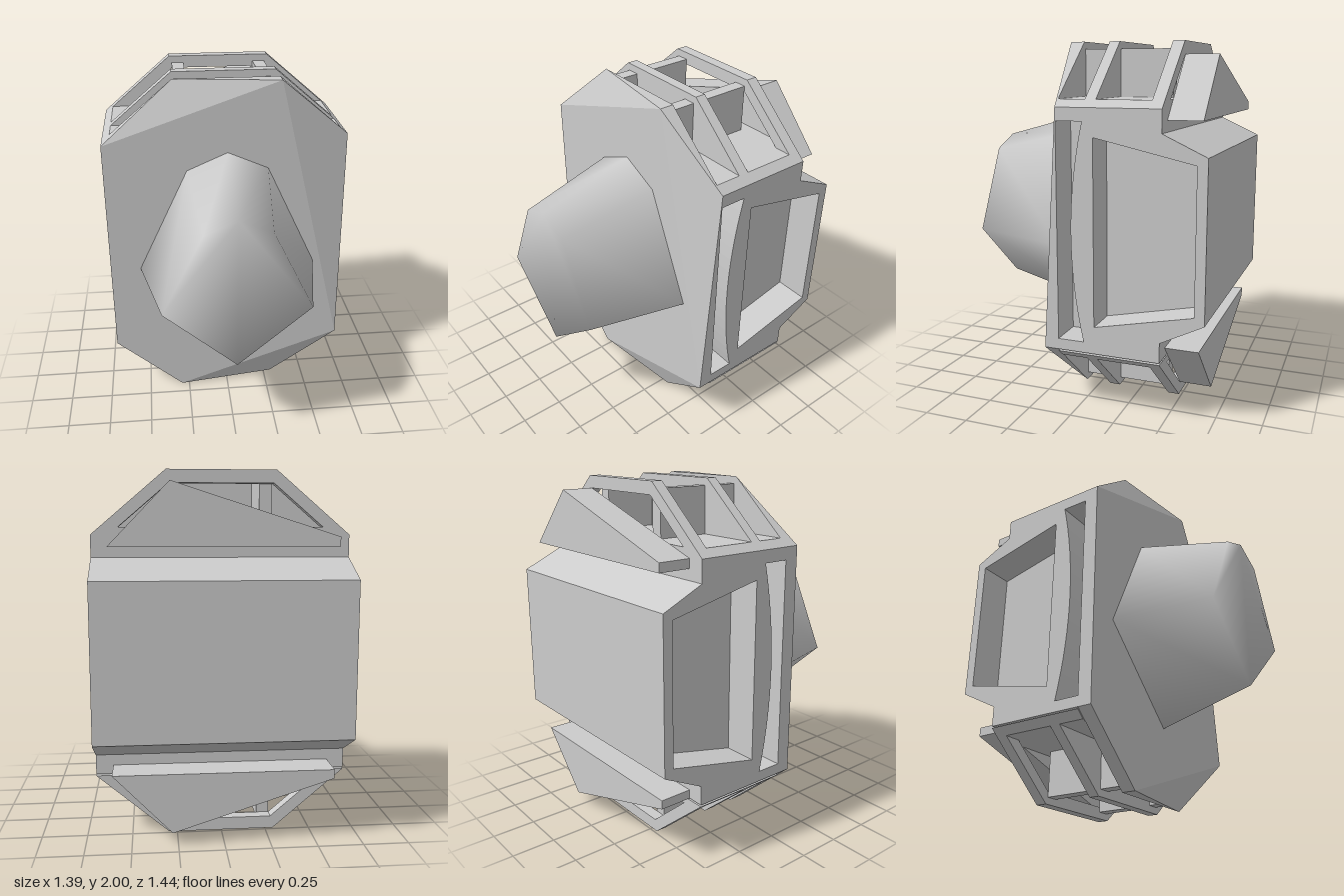
import * as THREE from 'three';
import { ConvexGeometry } from 'three/addons/geometries/ConvexGeometry.js';

const grey = () => new THREE.MeshStandardMaterial({ color: 0xcccccc, side: THREE.DoubleSide });

export function createModel() {
  const model = new THREE.Group();
  const add = (name, geometry) => {
    const mesh = new THREE.Mesh(geometry, grey());
    mesh.name = name;
    model.add(mesh);
  };
  const outline = (pts) => new THREE.Shape(pts.map(([x, y]) => new THREE.Vector2(x, y)));

  // Extrude an (x, y) shape from z0 to z1
  const extrudeZ = (shape, z0, z1) =>
    new THREE.ExtrudeGeometry(shape, { depth: z1 - z0, bevelEnabled: false }).translate(0, 0, z0);
  // Extrude a (-z, y) shape from x0 to x1
  const extrudeX = (shape, x0, x1) =>
    new THREE.ExtrudeGeometry(shape, { depth: x1 - x0, bevelEnabled: false, curveSegments: 16 })
      .rotateY(Math.PI / 2).translate(x0, 0, 0);

  const W = 0.695, IN = 0.5, FRONT = 0.17, PLATE = 0.09, BACK = -0.485;

  // Front plate: octagon behind, three corners cut away in front
  const octagon = [[-W, 1.66], [-0.295, 2], [0.295, 2], [W, 1.66], [W, 0.35], [0.295, 0], [-0.295, 0], [-W, 0.35]];
  const frontCorners = [0, 2, 4, 6, 7].map((i) => octagon[i]);
  add('frontPlate', new ConvexGeometry([
    ...octagon.map(([x, y]) => new THREE.Vector3(x, y, PLATE)),
    ...frontCorners.map(([x, y]) => new THREE.Vector3(x, y, FRONT)),
  ]));

  // Core with the raised back block
  const sideProfile = [[-PLATE, 0.35], [-PLATE, 1.66], [-BACK, 1.66], [-BACK, 1.54], [0.72, 1.43],
    [0.72, 0.58], [-BACK, 0.46], [-BACK, 0.35]];
  add('core', extrudeX(outline(sideProfile), -IN, IN));

  // Side panels with a slim and a wide recess
  const sidePanel = outline(sideProfile);
  const slim = new THREE.Path();
  slim.moveTo(-0.088, 1.59);
  slim.lineTo(0.06, 1.59);
  slim.quadraticCurveTo(-0.075, 1, 0.06, 0.41);
  slim.lineTo(-0.088, 0.41);
  slim.closePath();
  const wide = new THREE.Path();
  wide.moveTo(0.12, 1.51);
  wide.quadraticCurveTo(-0.01, 1, 0.12, 0.5);
  wide.lineTo(0.665, 0.62);
  wide.lineTo(0.665, 1.39);
  wide.closePath();
  sidePanel.holes.push(slim, wide);
  const bulge = new THREE.QuadraticBezierCurve(
    new THREE.Vector2(0.12, 1.51), new THREE.Vector2(-0.01, 1), new THREE.Vector2(0.12, 0.5)).getPoints(16);

  for (const [side, label] of [[1, 'left'], [-1, 'right']]) {
    add(label + 'SidePanel', extrudeX(sidePanel, side > 0 ? IN : -W, side > 0 ? W : -IN));
    // Sloping front wall of the wide recess
    const wedge = [];
    for (const p of bulge) {
      wedge.push(new THREE.Vector3(side * W, p.y, -p.x), new THREE.Vector3(side * IN, p.y, -p.x));
    }
    add(label + 'RecessWall', new ConvexGeometry(wedge.concat(
      [0.5, 1.51].map((y) => new THREE.Vector3(side * IN, y, -0.12)))));
  }

  // Slotted ends, the same at top and bottom
  for (const [s, label] of [[1, 'top'], [-1, 'bottom']]) {
    const flip = (pts) => pts.map(([x, y]) => [x, 1 + s * (y - 1)]);
    const endShape = () => outline(flip([[-W, 1.66], [-0.295, 2], [0.295, 2], [W, 1.66]]));

    add(label + 'SlotFloor', extrudeZ(
      outline(flip([[-W, 1.66], [W, 1.66], [0.648, 1.7], [-0.648, 1.7]])), BACK, PLATE));
    add(label + 'MiddleRib', extrudeZ(endShape(), -0.12, -0.06));

    // Back rib is open into the slot
    const backRib = endShape();
    backRib.holes.push(outline(flip([[-0.55, 1.7], [-0.28, 1.93], [0.28, 1.93], [0.55, 1.7]])));
    add(label + 'BackRib', extrudeZ(backRib, BACK, -0.42));

    // Dividers inside both slots
    for (const x of [-0.245, 0.245]) {
      for (const [z0, z1] of [[-0.42, -0.12], [-0.06, PLATE]]) {
        add(label + 'Divider', new THREE.BoxGeometry(0.07, 0.27, z1 - z0)
          .translate(x, 1 + s * 0.825, (z0 + z1) / 2));
      }
    }

    // Lopsided fin on the back
    add(label + 'BackFin', extrudeZ(
      outline(flip([[-0.6, 1.6], [0.6, 1.6], [0.28, 1.93], [-0.6, 1.65]])), -0.67, BACK));
  }

  // Tapered nose, smooth shaded over shared corners
  const kite = [[0, 1.6], [-0.23, 1.5], [-0.52, 0.885], [0, 0.41], [0.52, 0.885], [0.23, 1.5]];
  const n = kite.length, pos = [], index = [];
  kite.forEach(([x, y]) => pos.push(x, y, FRONT));
  kite.forEach(([x, y]) => pos.push(x * 0.78, 1 + (y - 1) * 0.75, 0.72));
  for (let i = 0; i < n; i++) {
    const j = (i + 1) % n;
    index.push(i, j, n + j, i, n + j, n + i);
    if (i > 0 && i < n - 1) index.push(n, n + i, n + i + 1);
  }
  const nose = new THREE.BufferGeometry();
  nose.setAttribute('position', new THREE.Float32BufferAttribute(pos, 3));
  nose.setIndex(index);
  nose.computeVertexNormals();
  add('nose', nose);

  return model;
}
